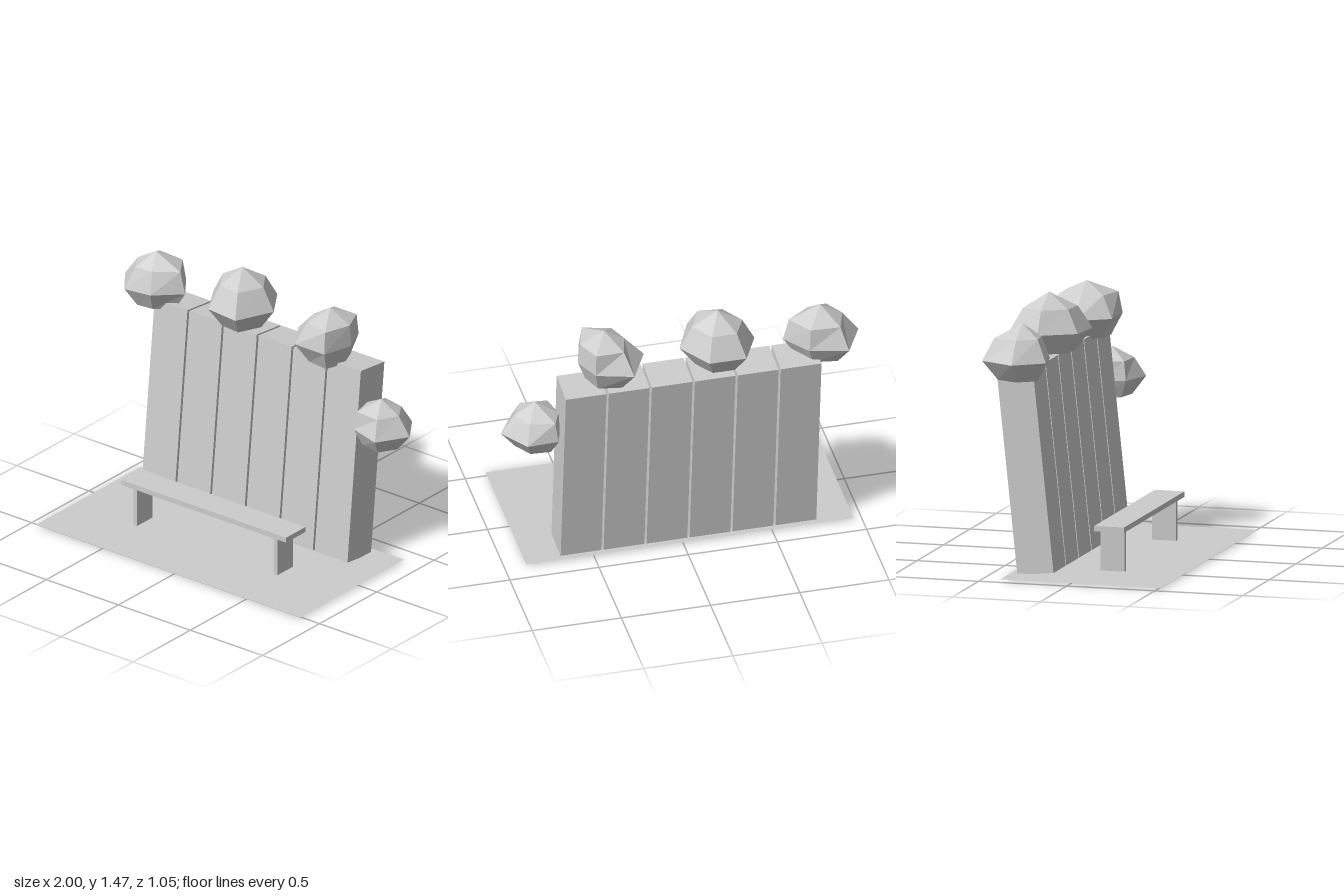
import * as THREE from 'three';

export function createModel() {
  const model = new THREE.Group();
  const paleGrey = new THREE.MeshStandardMaterial({ color: 0xcccccc, side: THREE.DoubleSide });
  paleGrey.name = 'paleGrey';

  function add(parent, name, geometry, x = 0, y = 0, z = 0) {
    const mesh = new THREE.Mesh(geometry, paleGrey);
    mesh.name = name;
    mesh.position.set(x, y, z);
    parent.add(mesh);
    return mesh;
  }

  // Ground sheet
  add(model, 'ground', new THREE.PlaneGeometry(1.835, 0.91).rotateX(-Math.PI / 2), -0.0375, 0.013, 0.065);

  // Leaning wall of six thick planks
  const wall = new THREE.Group();
  wall.name = 'wall';
  wall.position.set(-0.038, 0.573, -0.3095);
  wall.rotation.x = THREE.MathUtils.degToRad(-6);
  for (let i = 0; i < 6; i++) {
    add(wall, 'plank', new THREE.BoxGeometry(0.228, 1.122, 0.2065), (i - 2.5) * 0.241);
  }
  model.add(wall);

  // Bench in front of the wall
  const bench = new THREE.Group();
  bench.name = 'bench';
  add(bench, 'seat', new THREE.BoxGeometry(1.145, 0.03, 0.169), -0.0375, 0.255, 0.123);
  for (const x of [-0.5275, 0.4475]) {
    add(bench, 'benchLeg', new THREE.BoxGeometry(0.026, 0.227, 0.136), x, 0.1265, 0.122);
  }
  model.add(bench);

  // Faceted bush: apex, upper ring, rim and open lower ring.
  // Each rim point is [x, z, upperScale], clockwise from the back left.
  function bushGeometry([ax, ay, az], [upperY, rimY, lowerY], rim) {
    const at = (p, y, s) => [ax + (p[0] - ax) * s, y, az + (p[1] - az) * s];
    const rings = [
      rim.map(p => at(p, upperY, p[2])),
      rim.map(p => at(p, rimY, 1)),
      rim.map(p => at(p, lowerY, 0.35 + 0.37 * p[2])),
    ];
    const positions = [];
    const face = (...corners) => corners.forEach(c => positions.push(...c));
    for (let i = 0; i < 6; i++) {
      const j = (i + 1) % 6;
      face([ax, ay, az], rings[0][j], rings[0][i]);
      for (let k = 0; k < 2; k++) {
        const a = rings[k], b = rings[k + 1];
        face(a[i], a[j], b[j]);
        face(a[i], b[j], b[i]);
      }
    }
    const geometry = new THREE.BufferGeometry();
    geometry.setAttribute('position', new THREE.Float32BufferAttribute(positions, 3));
    geometry.computeVertexNormals();
    return geometry;
  }

  const bushes = [
    [[-0.785, 1.403, -0.315], [1.328, 1.205, 1.096],
      [[-0.9, -0.51, 0.7], [-0.69, -0.46, 0.88], [-0.578, -0.31, 0.84],
        [-0.716, -0.18, 0.7], [-0.877, -0.155, 0.65], [-1.0, -0.315, 0.58]]],
    [[-0.205, 1.475, -0.34], [1.392, 1.265, 1.147],
      [[-0.32, -0.53, 0.66], [-0.112, -0.53, 0.66], [0.01, -0.345, 0.67],
        [-0.085, -0.128, 0.66], [-0.29, -0.15, 0.66], [-0.41, -0.345, 0.67]]],
    [[0.426, 1.43, -0.315], [1.362, 1.242, 1.123],
      [[0.305, -0.52, 0.65], [0.508, -0.46, 0.93], [0.572, -0.315, 0.92],
        [0.524, -0.14, 0.88], [0.32, -0.14, 0.65], [0.203, -0.315, 0.5]]],
    [[0.805, 1.003, -0.285], [0.935, 0.83, 0.733],
      [[0.711, -0.444, 0.85], [0.888, -0.45, 0.65], [0.998, -0.29, 0.62],
        [0.893, -0.118, 0.65], [0.7, -0.176, 0.88], [0.675, -0.32, 0.95]]],
  ];
  for (const [apex, heights, rim] of bushes) add(model, 'bush', bushGeometry(apex, heights, rim));

  return model;
}
